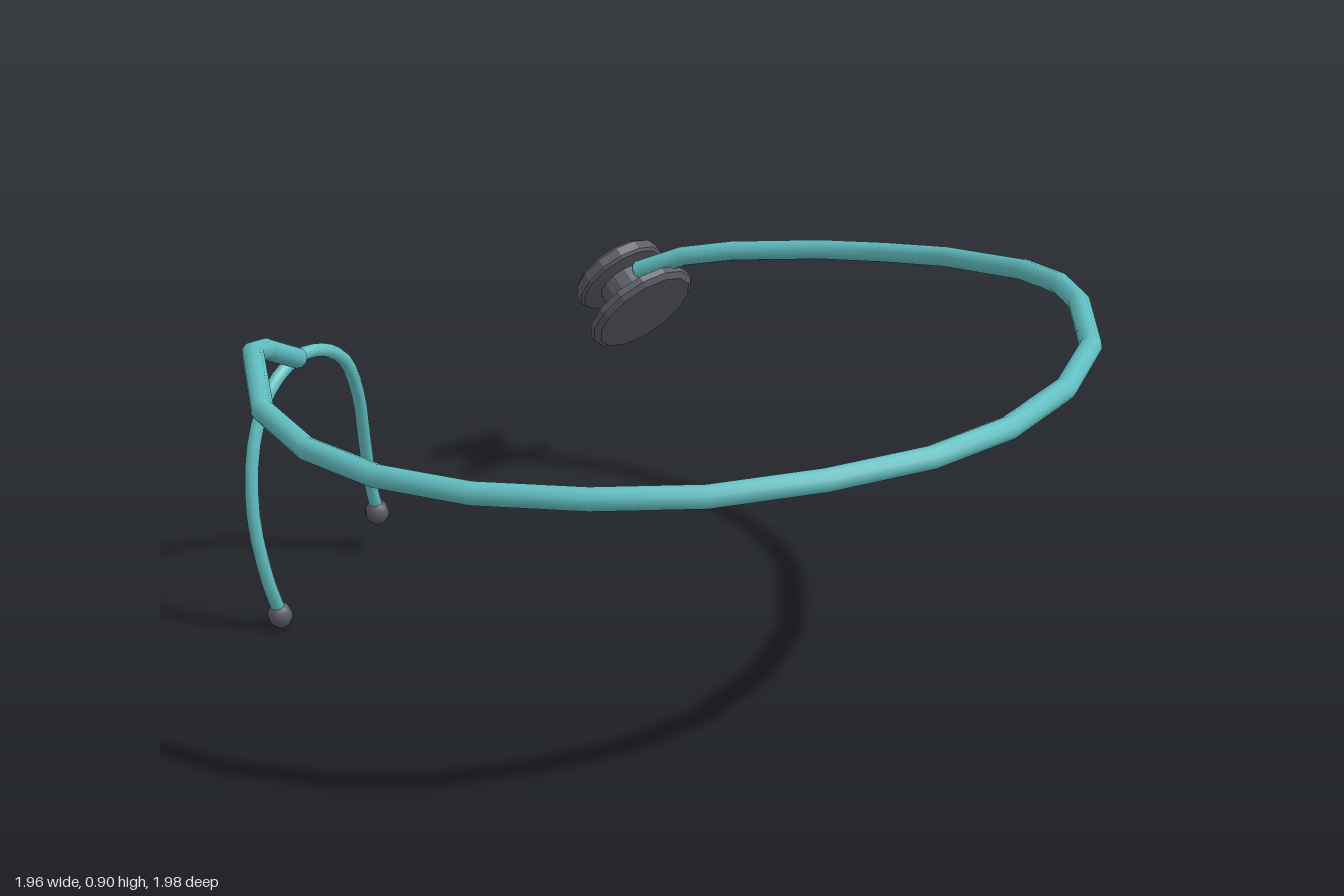
import * as THREE from 'three';

const teal = new THREE.MeshStandardMaterial({ color: 0x62bfc2 });
const dark = new THREE.MeshStandardMaterial({ color: 0x5a5b65 });
const darkFlat = new THREE.MeshStandardMaterial({ color: 0x5a5b65, flatShading: true });

function add(parent, name, geometry, material) {
  const mesh = new THREE.Mesh(geometry, material);
  mesh.name = name;
  parent.add(mesh);
  return mesh;
}

// Hose through the points, with its rings set on them, closed at both ends
function hose(parent, name, points, radius, perSpan) {
  const pts = points.map((p) => new THREE.Vector3(...p));
  const curve = new THREE.CatmullRomCurve3(pts, false, 'centripetal');
  curve.getPointAt = (t, v) => curve.getPoint(t, v);
  curve.getTangentAt = (t, v) => curve.getTangent(t, v);
  const group = new THREE.Group();
  group.name = name;
  parent.add(group);
  add(group, name + 'Tube', new THREE.TubeGeometry(curve, (pts.length - 1) * perSpan, radius, 10), teal);
  for (const t of [0, 1]) {
    const cap = add(group, name + 'End', new THREE.SphereGeometry(radius, 10, 8), teal);
    cap.position.copy(curve.getPoint(t));
    const dir = curve.getTangent(t);
    cap.quaternion.setFromUnitVectors(new THREE.Vector3(0, 1, 0), dir);
    cap.scale.y = 0.4;
  }
  return curve;
}

export function createModel() {
  const model = new THREE.Group();
  model.name = 'stethoscope';

  // Main hose, from the chest piece round the front to the fork
  hose(model, 'mainHose', [
    [0.64, 0.63, -0.83], [0.70, 0.685, -0.72], [0.77, 0.715, -0.6], [0.89, 0.745, -0.39],
    [0.935, 0.775, -0.2], [0.95, 0.81, 0], [0.93, 0.85, 0.27], [0.88, 0.867, 0.43],
    [0.80, 0.873, 0.56], [0.60, 0.871, 0.77], [0.37, 0.866, 0.90], [0.12, 0.86, 0.966],
    [-0.10, 0.852, 0.96], [-0.33, 0.843, 0.89], [-0.55, 0.833, 0.78], [-0.72, 0.823, 0.62],
    [-0.86, 0.81, 0.42], [-0.94, 0.80, 0.2], [-0.955, 0.793, -0.03], [-0.9, 0.79, -0.28],
    [-0.71, 0.785, -0.61], [-0.63, 0.755, -0.68], [-0.49, 0.675, -0.765],
  ], 0.026, 1);

  // Forked ear tubes, one continuous arch
  const arch = hose(model, 'earTubes', [
    [-0.60, 0.045, -0.735], [-0.64, 0.15, -0.718], [-0.668, 0.33, -0.72], [-0.645, 0.5, -0.735],
    [-0.58, 0.615, -0.755], [-0.48, 0.67, -0.78], [-0.40, 0.665, -0.797], [-0.32, 0.615, -0.82],
    [-0.26, 0.5, -0.853], [-0.22, 0.35, -0.892], [-0.18, 0.2, -0.93], [-0.155, 0.125, -0.945],
  ], 0.017, 3);

  // Ear tips
  for (const [name, t] of [['rightEarTip', 0], ['leftEarTip', 1]]) {
    const tip = add(model, name, new THREE.SphereGeometry(0.031, 10, 8), dark);
    tip.position.copy(arch.getPoint(t)).y -= 0.008;
    tip.scale.y = 1.18;
    tip.quaternion.setFromUnitVectors(new THREE.Vector3(0, 1, 0), arch.getTangent(t));
  }

  // Chest piece: wide diaphragm, stem and smaller hollow bell
  const profile = [
    [0, -0.015], [0.14, -0.015], [0.155, -0.003], [0.155, 0.015], [0.075, 0.025], [0.07, 0.095],
    [0.12, 0.1], [0.127, 0.107], [0.127, 0.132], [0.115, 0.143], [0.09, 0.143], [0.08, 0.128], [0, 0.128],
  ].map((p) => new THREE.Vector2(...p));
  const chest = add(model, 'chestPiece', new THREE.LatheGeometry(profile, 14), darkFlat);
  chest.position.set(0.635, 0.53, -0.81);
  chest.rotation.x = -0.94;

  return model;
}
